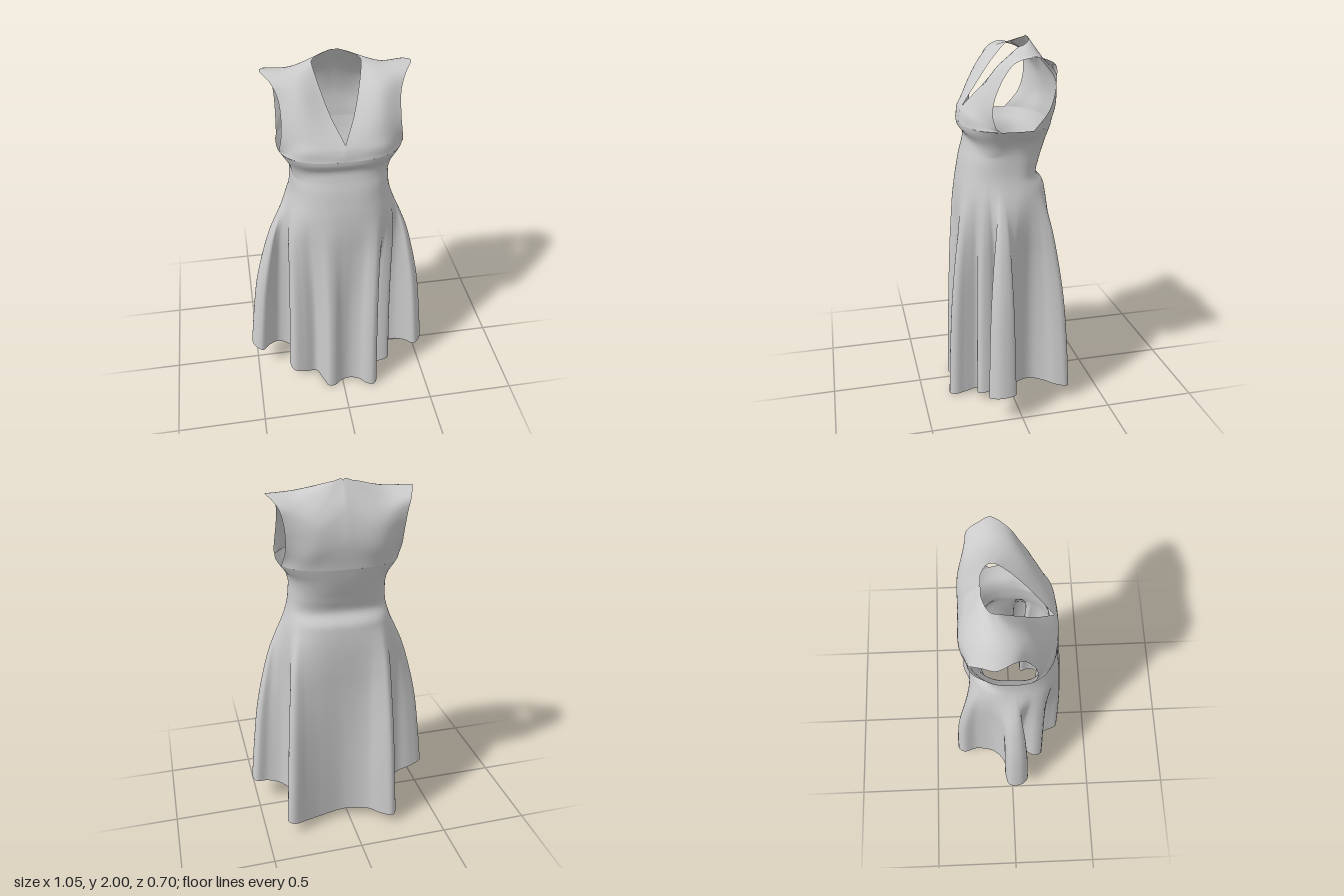
import * as THREE from 'three';
import { mergeGeometries, mergeVertices } from 'three/addons/utils/BufferGeometryUtils.js';

const COLS = 280, ROWS = 100, TOP = 1.57, SHIFT = 0.015;

// Indexed grid surface from point(i, j), i across and j along
function gridGeometry(nu, nv, point, flip = false) {
  const pos = [], idx = [];
  for (let j = 0; j <= nv; j++) {
    for (let i = 0; i <= nu; i++) pos.push(...point(i, j));
  }
  for (let j = 0; j < nv; j++) {
    for (let i = 0; i < nu; i++) {
      const a = j * (nu + 1) + i, b = a + 1, c = a + nu + 1, d = c + 1;
      idx.push(...(flip ? [a, c, b, b, c, d] : [a, b, c, b, d, c]));
    }
  }
  const g = new THREE.BufferGeometry();
  g.setAttribute('position', new THREE.Float32BufferAttribute(pos, 3));
  g.setIndex(idx);
  return g;
}

function smooth(geometry) {
  const g = mergeVertices(geometry, 1e-4);
  g.computeVertexNormals();
  return g;
}

// Fluted hem outline seen from above: x, z from the front centre towards +x
const HEM = [
  [0.04, 0.272], [0.1, 0.29], [0.14, 0.335], [0.18, 0.35], [0.205, 0.32], [0.195, 0.26],
  [0.19, 0.185], [0.24, 0.2], [0.3, 0.195], [0.31, 0.14], [0.295, 0.085],
  [0.36, 0.085], [0.42, 0.125], [0.47, 0.18], [0.52, 0.13], [0.51, 0.04], [0.44, 0.04], [0.36, 0.005],
  [0.305, -0.09], [0.325, -0.17], [0.365, -0.23], [0.38, -0.29], [0.35, -0.31], [0.26, -0.275], [0.17, -0.245],
  [0.02, -0.22], [-0.11, -0.255], [-0.17, -0.315], [-0.23, -0.355], [-0.262, -0.315], [-0.245, -0.23],
  [-0.28, -0.11], [-0.36, -0.05], [-0.45, -0.045], [-0.52, -0.02], [-0.52, 0.06], [-0.47, 0.1],
  [-0.42, 0.045], [-0.36, 0.01], [-0.27, 0.06], [-0.31, 0.15], [-0.29, 0.2], [-0.22, 0.2],
  [-0.15, 0.19], [-0.12, 0.25], [-0.09, 0.315], [-0.05, 0.315], [-0.01, 0.285],
];

// Body profile per level: height | half width, front z, back z, fold strength
const LEVELS = [0, 0.3, 0.6, 0.85, 1.0, 1.12, 1.2, 1.25, 1.3, 1.38, 1.45, 1.5, 1.54, TOP];
const PROFILE = [
  0.40, 0.28, -0.27, 1, 0.385, 0.275, -0.265, 0.92, 0.37, 0.27, -0.255, 0.78,
  0.352, 0.268, -0.245, 0.54, 0.338, 0.266, -0.24, 0.34, 0.316, 0.265, -0.23, 0.15,
  0.295, 0.26, -0.217, 0.04, 0.28, 0.255, -0.205, 0.01, 0.268, 0.247, -0.166, 0,
  0.26, 0.232, -0.182, 0, 0.26, 0.213, -0.205, 0, 0.274, 0.208, -0.22, 0,
  0.304, 0.236, -0.23, 0, 0.324, 0.24, -0.237, 0,
];
const profile = new THREE.CubicInterpolant(new Float32Array(LEVELS), new Float32Array(PROFILE), 4);
const BOTTOM_KEY = PROFILE.slice(0, 3), TOP_KEY = PROFILE.slice(-4, -1);

const rounded = (v) => Math.sign(v) * Math.abs(v) ** 0.77;
function section(theta, [half, front, back]) {
  const s = rounded(Math.sin(theta)), c = rounded(Math.cos(theta));
  return [half * s + SHIFT, c > 0 ? front * c : -back * c];
}

// Skirt, waist and underbust in one closed sheet
function lowerGeometry() {
  const curve = new THREE.CatmullRomCurve3(HEM.map(([x, z]) => new THREE.Vector3(x, 0, z)), true);
  const hem = curve.getSpacedPoints(COLS).slice(0, COLS);

  // Unwrapped, smoothed angles so that the folds fan out evenly from the waist
  const raw = [];
  hem.forEach((p, i) => {
    let a = Math.atan2(p.x, p.z);
    if (i) a += Math.round((raw[i - 1] - a) / (2 * Math.PI)) * 2 * Math.PI;
    raw.push(a);
  });
  const angleAt = (i) => raw[(i + COLS) % COLS] + Math.floor(i / COLS) * 2 * Math.PI;
  const W = 17;
  const theta = raw.map((_, i) => {
    let sum = 0;
    for (let k = -W; k <= W; k++) sum += angleAt(i + k);
    return sum / (2 * W + 1);
  });

  return gridGeometry(COLS, ROWS, (col, j) => {
    const i = col % COLS, level = TOP * j / ROWS, p = hem[i];
    const key = profile.evaluate(level);
    const [bx, bz] = section(theta[i], BOTTOM_KEY);
    const [x, z] = section(theta[i], key);
    const s = Math.sin(theta[i]), c = Math.cos(theta[i]);
    // Hem rises at the sides and a little at the back
    const lift = 0.005 + 0.025 * (1 - c) + 0.095 * s ** 6 + 0.05 * Math.abs(p.x / 0.52) ** 3;
    // Underbust crease arches up towards the front centre
    const arch = 0.045 * s * s * THREE.MathUtils.smoothstep(c, -0.05, 0.5);
    const y = level + lift * (1 - level / TOP) ** 2
      - arch * Math.exp(-(((level - 1.475) / 0.045) ** 2));
    return [x + key[3] * (p.x - bx), y, z + key[3] * (p.z - bz)];
  });
}

// Strip over one shoulder: neckline edge, middle and armhole edge, front to back
const INNER = [
  [0, 1.57, 0.24], [0, 1.61, 0.235], [0, 1.65, 0.215], [0.056, 1.76, 0.125], [0.096, 1.87, 0.035],
  [0.12, 1.95, -0.045], [0.12, 1.968, -0.085], [0.095, 1.98, -0.11], [0.05, 1.992, -0.128],
  [0, 1.995, -0.135], [0, 1.88, -0.21], [0, 1.73, -0.248], [0, 1.57, -0.235],
];
const MIDDLE = [
  [0.2, 1.57, 0.206], [0.195, 1.62, 0.207], [0.185, 1.67, 0.188], [0.19, 1.76, 0.145], [0.2, 1.86, 0.083],
  [0.22, 1.92, 0.015], [0.24, 1.94, -0.06], [0.23, 1.925, -0.13], [0.2, 1.89, -0.18],
  [0.18, 1.84, -0.22], [0.17, 1.77, -0.243], [0.18, 1.67, -0.24], [0.2, 1.57, -0.202],
];
const OUTER = [
  [0.325, 1.57, 0.07], [0.318, 1.595, 0.105], [0.307, 1.66, 0.12], [0.3, 1.74, 0.105], [0.305, 1.84, 0.06],
  [0.335, 1.91, 0.01], [0.38, 1.938, -0.07], [0.36, 1.925, -0.135], [0.338, 1.895, -0.187],
  [0.32, 1.84, -0.2], [0.308, 1.75, -0.195], [0.308, 1.66, -0.165], [0.32, 1.57, -0.09],
];

function shoulderGeometry(side) {
  const nu = 24, nv = 84;
  const rails = [INNER, MIDDLE, OUTER].map((pts) =>
    new THREE.CatmullRomCurve3(pts.map((p) => new THREE.Vector3(...p)), false, 'catmullrom', 0.5));
  const rowAt = (t) => new THREE.CatmullRomCurve3(rails.map((r) => r.getPoint(t)));
  const ends = [rowAt(0), rowAt(1)];
  return gridGeometry(nu, nv, (i, j) => {
    const t = j / nv, u = i / nu, p = rowAt(t).getPoint(u);
    // Ease the lower edges onto the top ring of the body
    const back = t > 0.5 ? 1 : 0;
    const weight = Math.max(0, 1 - 8 * Math.min(t, 1 - t)) ** 2;
    const [ringX, ringZ] = section(back ? Math.PI - 1.28 * u : 1.33 * u, TOP_KEY);
    const end = ends[back].getPoint(u);
    const x = Math.max(0, p.x + weight * (ringX - SHIFT - end.x));
    return [side * x + SHIFT, p.y, p.z + weight * (ringZ - end.z)];
  }, side < 0);
}

export function createModel() {
  const cloth = new THREE.MeshStandardMaterial({ color: 0xcccccc, side: THREE.DoubleSide });
  const model = new THREE.Group();
  model.name = 'dress';

  const skirt = new THREE.Mesh(smooth(lowerGeometry()), cloth);
  skirt.name = 'skirtAndWaist';

  const bodice = new THREE.Mesh(smooth(mergeGeometries([shoulderGeometry(1), shoulderGeometry(-1)])), cloth);
  bodice.name = 'bodice';

  model.add(skirt, bodice);
  return model;
}
